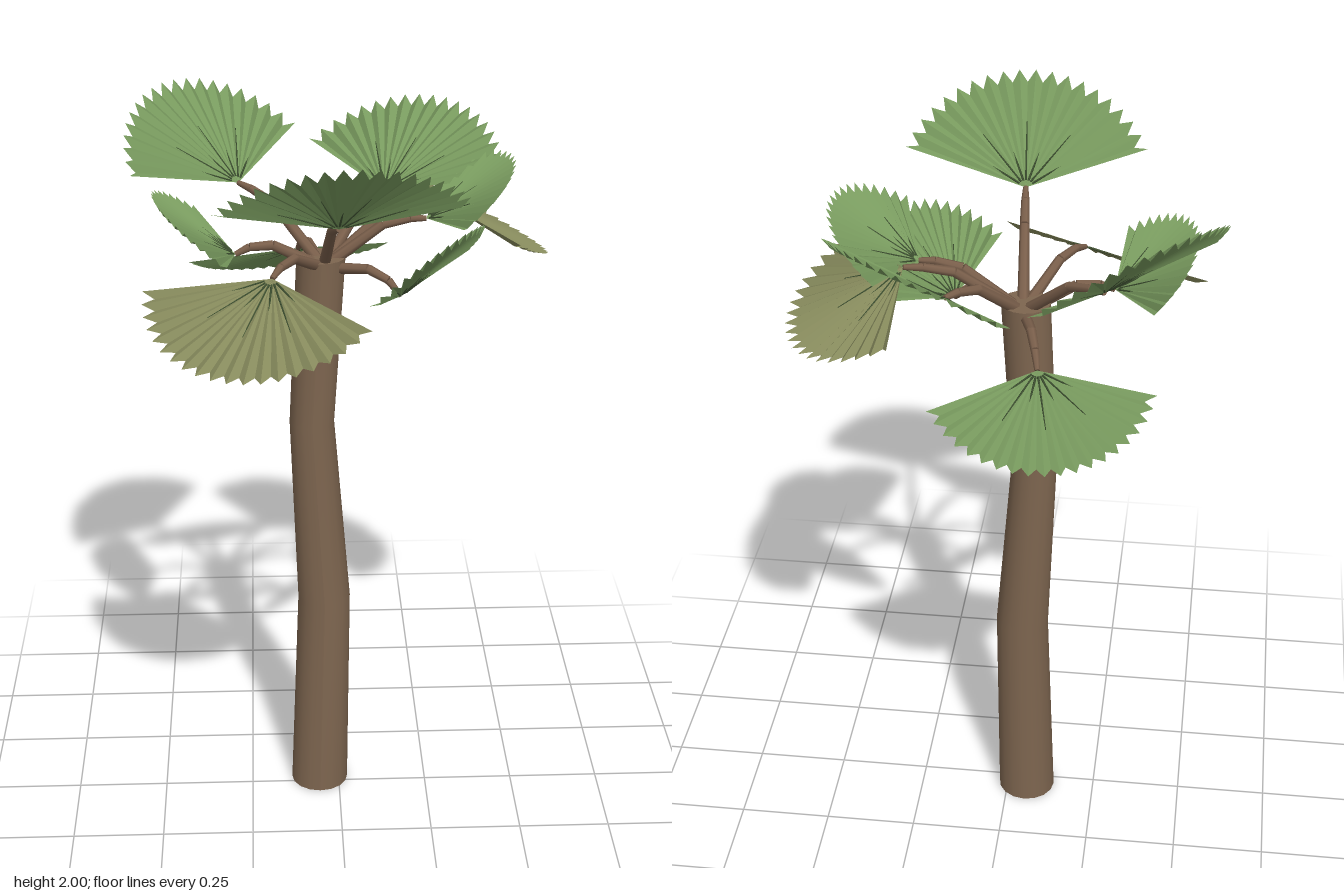
import * as THREE from 'three';

const mat = (color, extra = {}) => new THREE.MeshStandardMaterial({ color, ...extra });
const bark = mat(0x7d654f);
const stalkBark = mat(0x7a5f4b);
const green = mat(0x789a5e, { flatShading: true, side: THREE.DoubleSide });
const olive = mat(0x868a5c, { flatShading: true, side: THREE.DoubleSide });
const ribGreen = mat(0x3f5232);

const HALF_ANGLE = THREE.MathUtils.degToRad(71);
const CROWN = new THREE.Vector3(-0.038, 1.57, -0.028);

// Trunk sections: x, y, z, radius
const SECTIONS = [
  [-0.055, 0, -0.027, 0.08],
  [-0.04, 0.6, -0.031, 0.072],
  [-0.071, 1.13, -0.04, 0.06],
  [-0.045, 1.6, -0.031, 0.064],
];

// Leaves: hub x, y, z, blade length, tilt in degrees, material
const LEAVES = [
  [-0.257, 1.74, -0.225, 0.34, 42, green],
  [-0.1, 1.54, -0.27, 0.3, -29, green],
  [0.13, 1.71, -0.24, 0.33, 36, green],
  [0.25, 1.73, -0.13, 0.34, -29, olive],
  [0.227, 1.7, -0.028, 0.275, 34, green],
  [0.155, 1.535, 0.097, 0.28, 46, green],
  [-0.01, 1.775, 0.273, 0.337, 41, green],
  [-0.173, 1.635, 0.23, 0.335, -31, olive],
  [-0.266, 1.625, 0.016, 0.265, 37, green],
];

// A cylinder whose rings are moved onto the trunk sections
function makeTrunk() {
  const geo = new THREE.CylinderGeometry(1, 1, 3, 16, 3);
  const p = geo.attributes.position;
  for (let i = 0; i < p.count; i++) {
    const [x, y, z, r] = SECTIONS[Math.round(p.getY(i) + 1.5)];
    p.setXYZ(i, x + p.getX(i) * r, y, z + p.getZ(i) * r);
  }
  geo.computeVertexNormals();
  const trunk = new THREE.Mesh(geo, bark);
  trunk.name = 'trunk';
  return trunk;
}

// Pleated fan with a toothed rim, opening along +z from its hub
function fanGeometry(length, teeth = 19) {
  const steps = teeth * 2;
  const pos = [0, 0, 0];
  const index = [];
  for (let i = 0; i <= steps; i++) {
    const a = HALF_ANGLE * (2 * i / steps - 1);
    const valley = i % 2;
    for (const t of [0.5, 1]) {
      const r = length * t * (valley && t === 1 ? 0.91 : 1);
      pos.push(Math.sin(a) * r, (valley ? -0.006 : 0.006) * t, Math.cos(a) * r);
    }
    if (i < steps) {
      const k = 1 + i * 2;
      index.push(0, k, k + 2, k, k + 1, k + 3, k, k + 3, k + 2);
    }
  }
  const geo = new THREE.BufferGeometry();
  geo.setAttribute('position', new THREE.Float32BufferAttribute(pos, 3));
  geo.setIndex(index);
  geo.computeVertexNormals();
  return geo;
}

// Slender ribs radiating over the blade
function addRibs(fan, length) {
  for (let i = -3; i <= 3; i++) {
    const len = length * 0.5;
    const rib = new THREE.Mesh(
      new THREE.CylinderGeometry(0.001, 0.003, len, 4).rotateX(Math.PI / 2).translate(0, 0, len / 2 + length * 0.06), ribGreen);
    rib.rotation.y = i * HALF_ANGLE / 3.8;
    rib.name = 'rib';
    fan.add(rib);
  }
}

// Tapered segment between two points
function segment(a, b, ra, rb) {
  const d = b.clone().sub(a);
  const mesh = new THREE.Mesh(new THREE.CylinderGeometry(rb, ra, d.length(), 7), stalkBark);
  mesh.position.copy(a).addScaledVector(d, 0.5);
  mesh.quaternion.setFromUnitVectors(new THREE.Vector3(0, 1, 0), d.normalize());
  return mesh;
}

function makeLeaf([x, y, z, length, tilt, material]) {
  const leaf = new THREE.Group();
  leaf.name = 'leaf';
  const hub = new THREE.Vector3(x, y, z);

  // Bent stalk from the crown to the blade
  const stalk = new THREE.Group();
  stalk.name = 'stalk';
  const bend = CROWN.clone().lerp(hub, 0.58);
  bend.y += 0.04;
  const neck = CROWN.clone().lerp(hub, 0.84);
  neck.y = THREE.MathUtils.lerp(bend.y, hub.y, 0.5) + 0.008;
  const pts = [CROWN, bend, neck, hub];
  const radii = [0.016, 0.013, 0.011, 0.007];
  for (let i = 0; i < 3; i++) stalk.add(segment(pts[i], pts[i + 1], radii[i], radii[i + 1]));
  leaf.add(stalk);

  // Blade faces away from the crown and tilts up or droops
  const fan = new THREE.Group();
  fan.name = 'fan';
  const blade = new THREE.Mesh(fanGeometry(length), material);
  blade.name = 'blade';
  fan.add(blade);
  addRibs(fan, length);
  fan.position.copy(hub);
  fan.rotation.order = 'YXZ';
  fan.rotation.y = Math.atan2(x - CROWN.x, z - CROWN.z);
  fan.rotation.x = -THREE.MathUtils.degToRad(tilt);
  leaf.add(fan);
  return leaf;
}

export function createModel() {
  const model = new THREE.Group();
  model.name = 'fanPalm';
  model.add(makeTrunk());
  for (const spec of LEAVES) model.add(makeLeaf(spec));
  return model;
}
